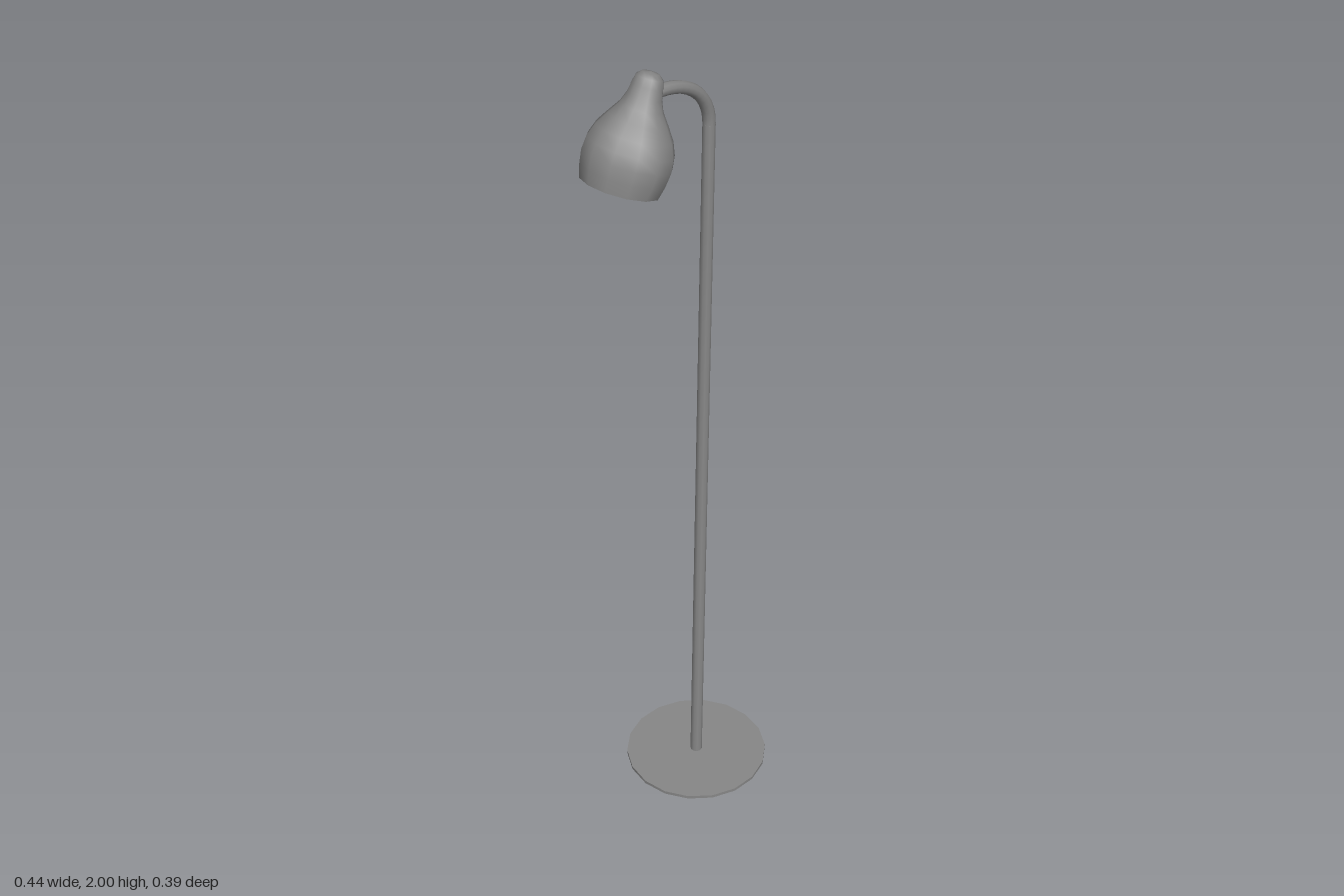
import * as THREE from 'three';

export function createModel() {
  const lamp = new THREE.Group();
  lamp.name = 'floorLamp';
  const grey = new THREE.MeshStandardMaterial({ color: 0x878787 });
  const greyOpen = new THREE.MeshStandardMaterial({ color: 0x878787, side: THREE.DoubleSide });
  const v = (x, y, z) => new THREE.Vector3(x, y, z);

  const add = (name, geometry, material = grey) => {
    const mesh = new THREE.Mesh(geometry, material);
    mesh.name = name;
    lamp.add(mesh);
    return mesh;
  };
  // Turn a part built along +y so that it runs from one point to another
  const align = (mesh, from, to) =>
    mesh.quaternion.setFromUnitVectors(v(0, 1, 0), to.clone().sub(from).normalize());

  const poleRadius = 0.0143;
  const foot = v(0.049, 0, -0.025);
  const poleTop = v(0.075, 1.79, -0.062);

  // Thin round foot plate
  const base = add('base', new THREE.CylinderGeometry(0.172, 0.172, 0.008, 18, 1, false, 0.08));
  base.position.set(foot.x, 0.006, foot.z);

  // Slightly leaning pole, its end showing through the plate
  const pole = add('pole',
    new THREE.CylinderGeometry(poleRadius, poleRadius, foot.distanceTo(poleTop), 10));
  pole.position.copy(foot).lerp(poleTop, 0.5);
  align(pole, foot, poleTop);

  // Curved arm bending over to the shade's neck
  const arm = new THREE.CubicBezierCurve3(
    poleTop, v(0.076, 1.866, -0.063), v(0.017, 1.936, -0.014), v(-0.07, 1.938, 0.058));
  add('arm', new THREE.TubeGeometry(arm, 14, poleRadius, 10));

  // Bell-shaped shade with a rounded neck, open at the bottom, tilted outwards
  const rim = v(-0.139, 1.763, 0.113);
  const cap = v(-0.063, 1.991, 0.052);
  const length = rim.distanceTo(cap);
  const profile = [
    [0.086, 0], [0.094, 0.03], [0.098, 0.06], [0.095, 0.088], [0.084, 0.117],
    [0.065, 0.146], [0.047, 0.172], [0.038, 0.195], [0.034, 0.218],
    [0.029, 0.236], [0.019, length - 0.003], [0, length],
  ].map(([r, y]) => new THREE.Vector2(r, y));
  const shade = add('shade', new THREE.LatheGeometry(profile, 12), greyOpen);
  shade.position.copy(rim);
  align(shade, rim, cap);

  return lamp;
}
